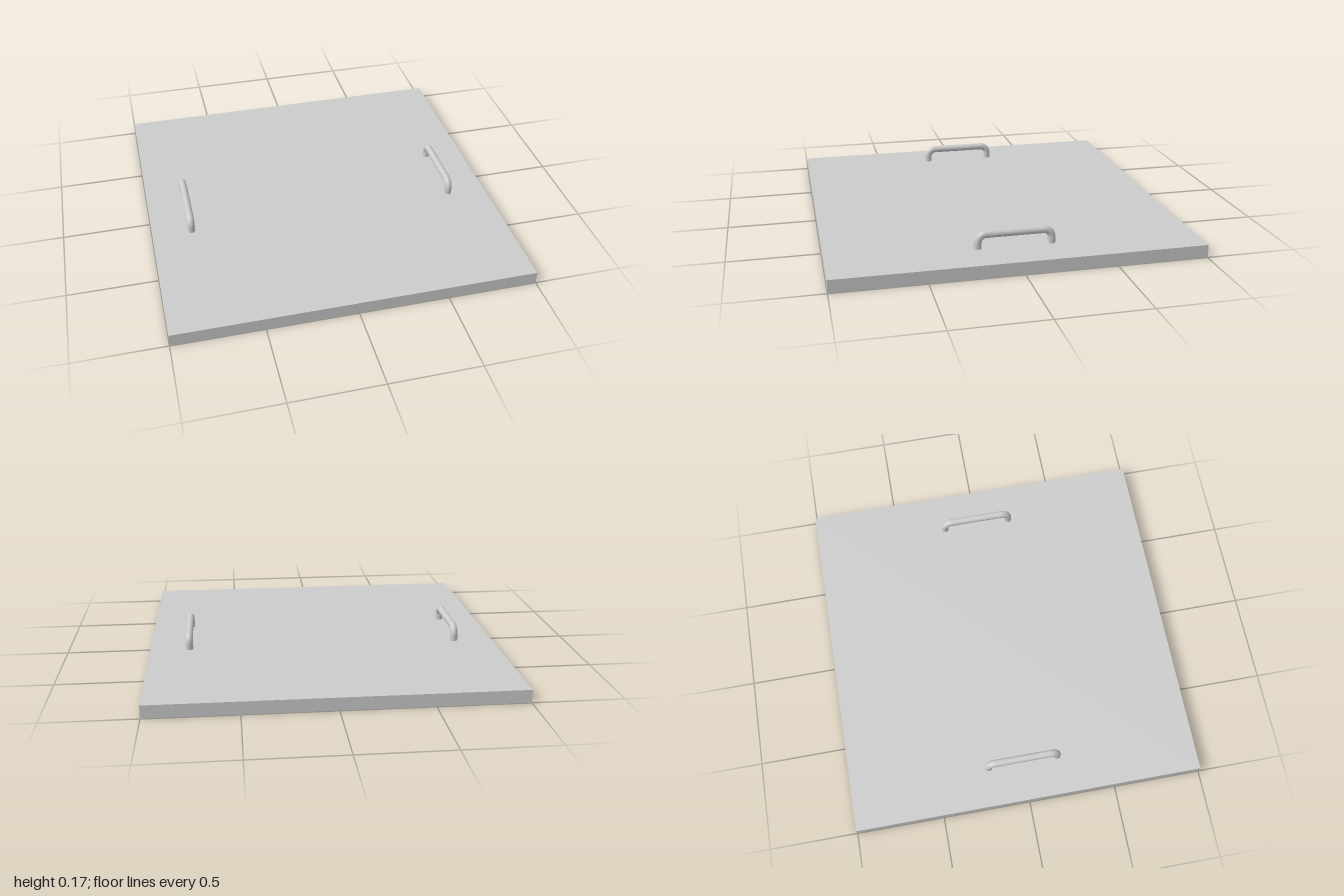
import * as THREE from 'three';

const SLAB_HEIGHT = 0.072;
const HANDLE_X = 0.776;
const BAR_RADIUS = 0.021;
const BAR_Y = 0.149;
const LEG_Z = 0.201;
const BEND = 0.045;

const material = new THREE.MeshStandardMaterial({ color: 0xcccccc });

// Centre line of a handle: leg, rounded bend, grip, rounded bend, leg
function handlePath() {
  const p = (y, z) => new THREE.Vector3(0, y, z);
  const k = BEND * 0.448; // control distance for a near-circular bend
  const foot = SLAB_HEIGHT - 0.005;
  const path = new THREE.CurvePath();
  path.add(new THREE.LineCurve3(p(foot, LEG_Z), p(BAR_Y - BEND, LEG_Z)));
  path.add(new THREE.CubicBezierCurve3(
    p(BAR_Y - BEND, LEG_Z), p(BAR_Y - k, LEG_Z), p(BAR_Y, LEG_Z - k), p(BAR_Y, LEG_Z - BEND)));
  path.add(new THREE.LineCurve3(p(BAR_Y, LEG_Z - BEND), p(BAR_Y, BEND - LEG_Z)));
  path.add(new THREE.CubicBezierCurve3(
    p(BAR_Y, BEND - LEG_Z), p(BAR_Y, k - LEG_Z), p(BAR_Y - k, -LEG_Z), p(BAR_Y - BEND, -LEG_Z)));
  path.add(new THREE.LineCurve3(p(BAR_Y - BEND, -LEG_Z), p(foot, -LEG_Z)));
  return path;
}

export function createModel() {
  const model = new THREE.Group();
  model.name = 'coverPlate';

  // Flat square slab
  const slab = new THREE.Mesh(new THREE.BoxGeometry(2, SLAB_HEIGHT, 2), material);
  slab.name = 'slab';
  slab.position.y = SLAB_HEIGHT / 2;
  model.add(slab);

  // Two bent-bar handles, their feet sunk into the slab
  const handleGeometry = new THREE.TubeGeometry(handlePath(), 96, BAR_RADIUS, 24, false);
  for (const [name, side] of [['leftHandle', 1], ['rightHandle', -1]]) {
    const handle = new THREE.Mesh(handleGeometry, material);
    handle.name = name;
    handle.position.x = side * HANDLE_X;
    model.add(handle);
  }

  return model;
}
